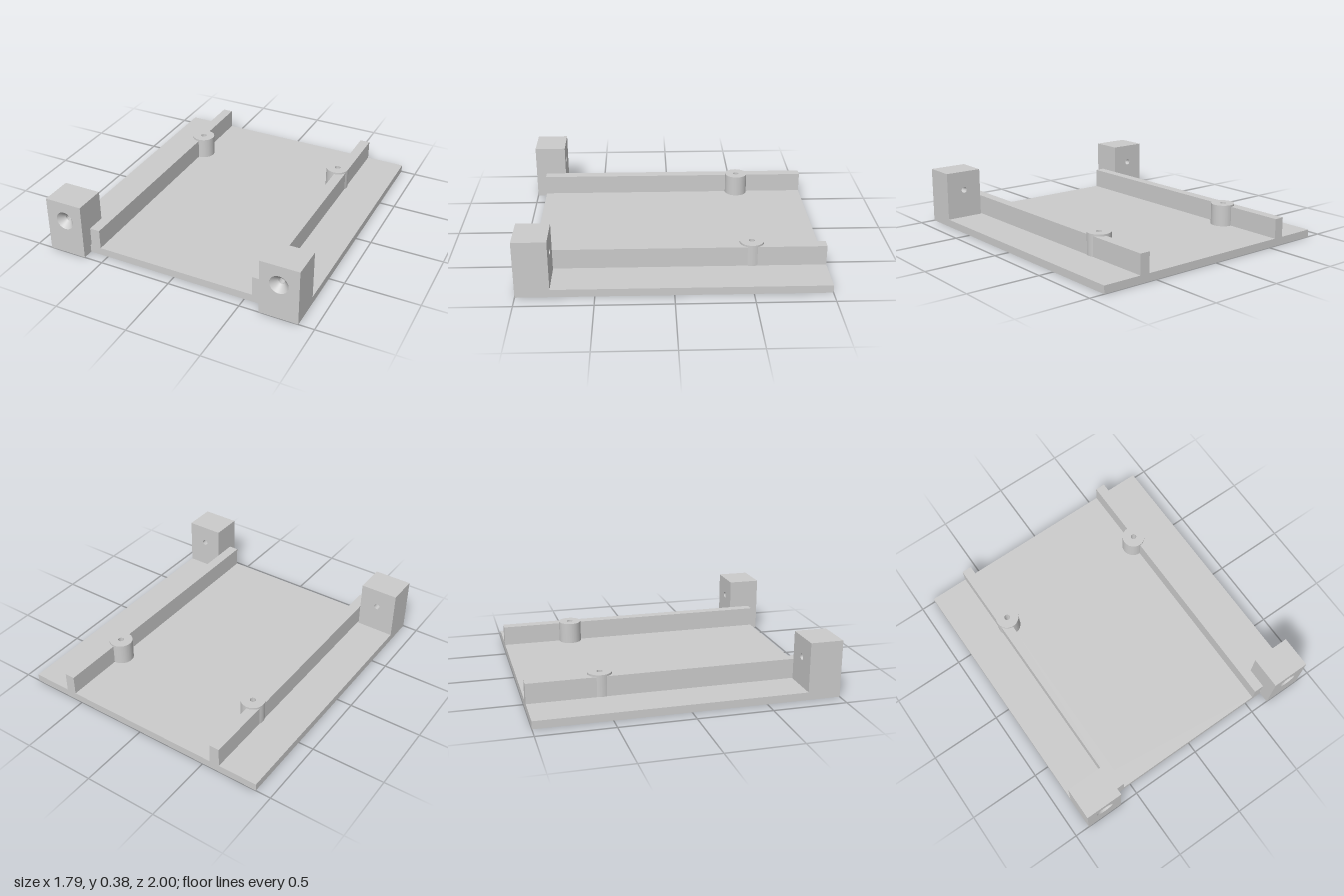
import * as THREE from 'three';
import { toCreasedNormals } from 'three/addons/utils/BufferGeometryUtils.js';

const material = new THREE.MeshStandardMaterial({ color: 0xcccccc });
const openMaterial = new THREE.MeshStandardMaterial({ color: 0xcccccc, side: THREE.DoubleSide });

const BACK = -1, FRONT = 1, PLATE_FRONT = 0.925, PLATE_TOP = 0.052;
const OUTER_X = 0.895, BLOCK_X = 0.632, BLOCK_BACK = 0.78;
const HOLE_X = 0.762, HOLE_Y = 0.25, HOLE_R = 0.021, SINK_R = 0.063, SINK_DEPTH = 0.043;
const POST_X = 0.55, POST_Z = -0.515;

function extrude(shape, depth) {
  const g = new THREE.ExtrudeGeometry(shape, { depth, bevelEnabled: false, curveSegments: 40 });
  return toCreasedNormals(g, 0.5);
}

// Extrude a plan drawn as (x, -z) upwards from height y
function extrudeUp(shape, y, height) {
  return extrude(shape, height).rotateX(-Math.PI / 2).translate(0, y, 0);
}

function polygon(points) {
  return new THREE.Shape(points.map(([x, y]) => new THREE.Vector2(x, y)));
}

function circle(x, y, r) {
  return new THREE.Path().absarc(x, y, r, 0, Math.PI * 2, true);
}

function add(parent, name, geometry, mat = material) {
  const mesh = new THREE.Mesh(geometry, mat);
  mesh.name = name;
  parent.add(mesh);
}

function blockLayer(x, holeRadius, z0, z1) {
  const a = x - (OUTER_X - BLOCK_X) / 2, b = x + (OUTER_X - BLOCK_X) / 2;
  const s = polygon([[a, 0], [b, 0], [b, 0.385], [a, 0.385]]);
  s.holes.push(circle(Math.sign(x) * HOLE_X, HOLE_Y, holeRadius));
  return extrude(s, z1 - z0).translate(0, 0, z0);
}

// Rail plan, cut away around the screw hole inside the post
function railPlan(side) {
  const inner = 0.553, outer = 0.623, r = 0.04;
  const pts = [[inner, -PLATE_FRONT], [outer, -PLATE_FRONT], [outer, -BACK], [inner, -BACK]];
  for (let i = 0; i <= 12; i++) {
    const a = Math.PI / 2 - Math.PI * i / 12;
    pts.push([inner + r * Math.cos(a), -POST_Z + r * Math.sin(a)]);
  }
  return polygon(pts.map(([x, y]) => [x * side, y]));
}

export function createModel() {
  const model = new THREE.Group();
  model.name = 'mountingTray';

  // Base plate, notched at the two front corners for the blocks
  const half = [[BLOCK_X, -PLATE_FRONT], [BLOCK_X, -BLOCK_BACK], [OUTER_X, -BLOCK_BACK], [OUTER_X, -BACK]];
  const mirrored = half.map(([x, y]) => [-x, y]).reverse();
  add(model, 'basePlate', extrudeUp(polygon([...half, ...mirrored]), 0, PLATE_TOP));

  for (const side of [1, -1]) {
    const group = new THREE.Group();
    group.name = side > 0 ? 'leftSide' : 'rightSide';
    model.add(group);

    // Guide rail
    add(group, 'rail', extrudeUp(railPlan(side), PLATE_TOP, 0.187 - PLATE_TOP));

    // Screw post with a blind hole
    const post = new THREE.Shape().absarc(side * POST_X, -POST_Z, 0.08, 0, Math.PI * 2, false);
    post.holes.push(circle(side * POST_X, -POST_Z, 0.02));
    add(group, 'screwPost', extrudeUp(post, PLATE_TOP, 0.2 - PLATE_TOP));

    // Corner block with a countersunk through hole
    const x = side * (BLOCK_X + OUTER_X) / 2, seat = FRONT - SINK_DEPTH;
    add(group, 'cornerBlock', blockLayer(x, HOLE_R, BLOCK_BACK, seat));
    add(group, 'cornerBlockFace', blockLayer(x, SINK_R, seat, FRONT));
    const cone = new THREE.CylinderGeometry(SINK_R, HOLE_R, SINK_DEPTH, 48, 1, true)
      .rotateX(Math.PI / 2)
      .translate(side * HOLE_X, HOLE_Y, FRONT - SINK_DEPTH / 2);
    add(group, 'countersink', cone, openMaterial);
  }
  return model;
}
